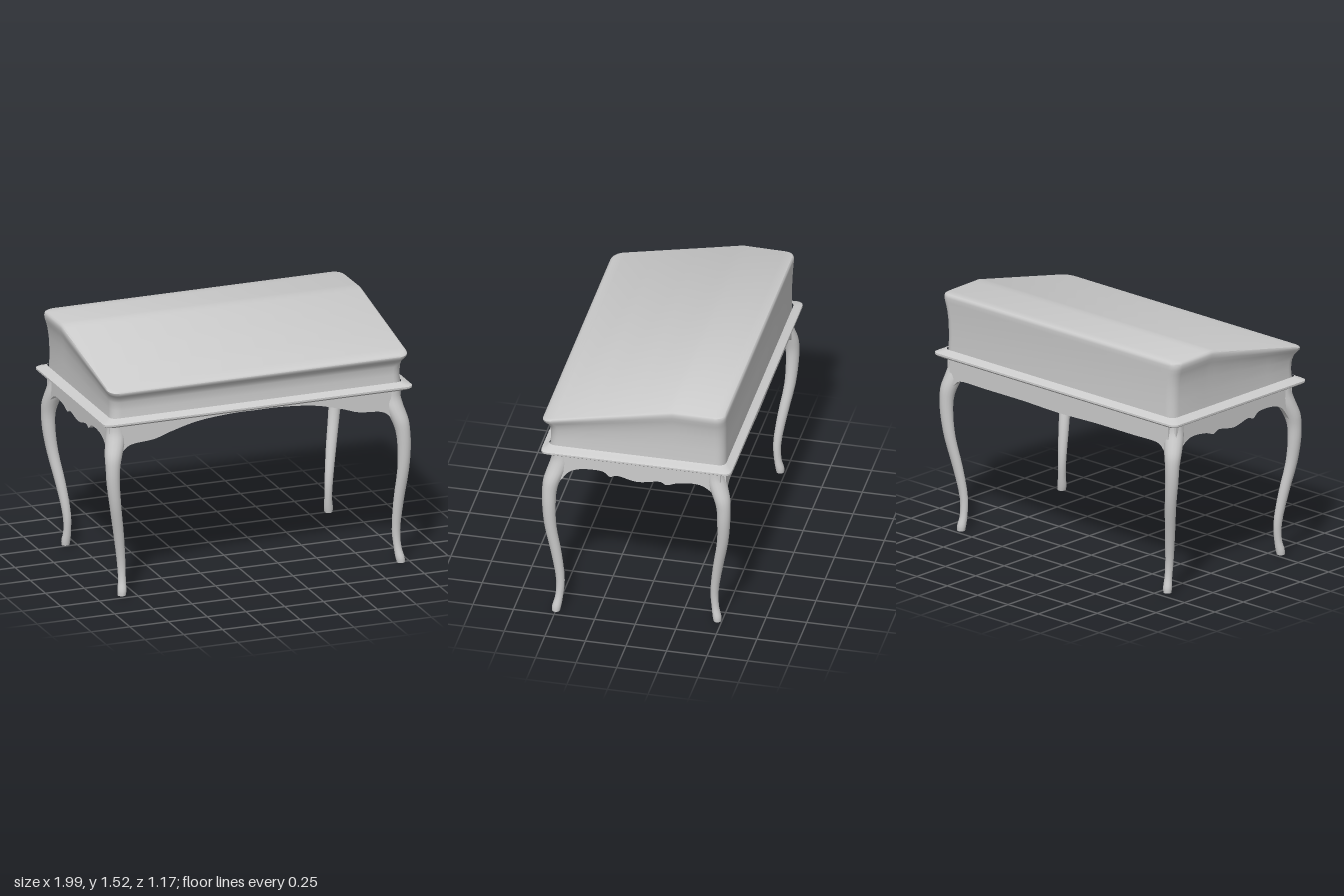
import * as THREE from 'three';
import { toCreasedNormals } from 'three/addons/utils/BufferGeometryUtils.js';

const material = new THREE.MeshStandardMaterial({ color: 0xcccccc });

function add(group, name, geometry) {
  const mesh = new THREE.Mesh(toCreasedNormals(geometry, 0.75), material);
  mesh.name = name;
  group.add(mesh);
  return mesh;
}

// Skin a stack of rings, each mirrored about its middle; chosen ends are closed with strips.
function loft(rings, closeBottom, closeTop) {
  const n = rings[0].length, index = [];
  for (let k = 0; k < rings.length - 1; k++) {
    for (let i = 0; i < n; i++) {
      const j = (i + 1) % n;
      const a = k * n + i, b = k * n + j, c = b + n, d = a + n;
      index.push(a, b, c, a, c, d);
    }
  }
  const top = (rings.length - 1) * n;
  for (let i = 0; i < n / 2 - 1; i++) {
    const a = i, b = i + 1, c = n - 2 - i, d = n - 1 - i;
    if (closeTop) index.push(top + a, top + b, top + c, top + a, top + c, top + d);
    if (closeBottom) index.push(a, c, b, a, d, c);
  }
  const geometry = new THREE.BufferGeometry();
  geometry.setAttribute('position', new THREE.Float32BufferAttribute(rings.flat(2), 3));
  geometry.setIndex(index);
  return geometry;
}

// Rounded rectangle ring; its height may vary with z.
function roundedRing(hx, front, back, r, height) {
  const half = [], steps = 5;
  for (let i = 0; i <= steps; i++) {
    const a = (i / steps) * Math.PI / 2;
    half.push([hx - r + r * Math.sin(a), front - r + r * Math.cos(a)]);
  }
  for (const z of [0.3, 0.04, -0.18, -0.22, -0.26]) half.push([hx, z]);
  for (let i = 0; i <= steps; i++) {
    const a = (i / steps) * Math.PI / 2;
    half.push([hx - r + r * Math.cos(a), back + r - r * Math.sin(a)]);
  }
  const full = [...half, ...half.map(([x, z]) => [-x, z]).reverse()];
  return full.map(([x, z]) => [x, height(z), z]);
}

// Board with a shaped lower edge.
function apronGeometry(edge, thickness = 0.03) {
  const pts = edge.map(([x, y]) => new THREE.Vector2(x, y));
  const shape = new THREE.Shape();
  shape.moveTo(pts[0].x, pts[0].y);
  shape.splineThru(pts.slice(1));
  shape.lineTo(pts[pts.length - 1].x, 1.12);
  shape.lineTo(pts[0].x, 1.12);
  return new THREE.ExtrudeGeometry(shape, { depth: thickness, bevelEnabled: false, curveSegments: 48 });
}

// Curved leg rows: height, x, z, radius.
const LEG = [
  [0, 0.856, 0.5, 0.025], [0.03, 0.854, 0.497, 0.028], [0.09, 0.849, 0.485, 0.024],
  [0.2, 0.851, 0.478, 0.026], [0.4, 0.877, 0.502, 0.032], [0.6, 0.911, 0.535, 0.036],
  [0.75, 0.928, 0.543, 0.041], [0.85, 0.929, 0.541, 0.045], [0.92, 0.921, 0.528, 0.053],
  [1.0, 0.9, 0.498, 0.06], [1.06, 0.888, 0.48, 0.06], [1.12, 0.885, 0.476, 0.06],
];

function legGeometry(sx, sz, spread, lift) {
  const curve = new THREE.CatmullRomCurve3(LEG.map(([y, x, z]) => new THREE.Vector3(x, y, z)));
  const radius = new THREE.CatmullRomCurve3(LEG.map(([y, , , r]) => new THREE.Vector3(r, y, 0)));
  const rings = [], steps = 33, sides = 16;
  for (let k = 0; k <= steps; k++) {
    const p = curve.getPoint(k / steps), r = radius.getPoint(k / steps).x;
    const drop = Math.max(0, 1 - p.y);
    const cx = sx * (p.x + spread * drop);
    const cz = sz > 0 ? p.z : -p.z + 0.01 + 0.015 * drop;
    const depth = sz > 0 ? r : r * 0.95;
    const ring = [];
    for (let i = 0; i < sides; i++) {
      const a = ((i + 0.5) / sides) * Math.PI * 2;
      ring.push([cx + r * Math.sin(a), p.y + lift * drop, cz + depth * Math.cos(a)]);
    }
    rings.push(ring);
  }
  return loft(rings, true, false);
}

export function createModel() {
  const desk = new THREE.Group();
  desk.name = 'writingDesk';

  // Moulded ledge with the desk's underside: half width, front, back, height
  const ledge = [
    [0.942, 0.537, -0.545, 1.109], [0.965, 0.56, -0.562, 1.113], [0.985, 0.577, -0.576, 1.121],
    [0.997, 0.588, -0.585, 1.13], [0.997, 0.588, -0.584, 1.141], [0.985, 0.577, -0.574, 1.148],
    [0.965, 0.562, -0.557, 1.154], [0.942, 0.549, -0.54, 1.165],
  ];
  add(desk, 'ledge', loft(ledge.map(([hx, f, b, y]) => roundedRing(hx, f, b, 0.04, () => y)), true, false));

  // Slant-top case: half width, front, back, fraction of local height
  const lidHeight = (z) => (z > -0.22
    ? THREE.MathUtils.mapLinear(z, 0.57, -0.22, 1.352, 1.52)
    : THREE.MathUtils.mapLinear(z, -0.22, -0.54, 1.52, 1.514));
  const body = [
    [0.939, 0.55, -0.538, 0], [0.936, 0.544, -0.537, 0.3], [0.941, 0.547, -0.538, 0.55],
    [0.948, 0.557, -0.54, 0.7], [0.957, 0.575, -0.541, 0.8], [0.965, 0.586, -0.542, 0.87],
    [0.969, 0.588, -0.543, 0.94], [0.965, 0.582, -0.541, 0.98], [0.954, 0.568, -0.534, 1],
  ];
  add(desk, 'slantTopCase', loft(body.map(([hx, f, b, t]) =>
    roundedRing(hx, f, b, 0.06, (z) => 1.15 + (lidHeight(z) - 1.15) * t)), false, true)).position.x = 0.002;

  // Front apron with a wide arch
  const arch = [[0.9, 0.9], [0.86, 0.95], [0.8, 0.985], [0.66, 1.0], [0.55, 1.035], [0.38, 1.078], [0.18, 1.098]];
  const frontEdge = [...arch.map(([x, y]) => [-x, y]), [0, 1.1], ...[...arch].reverse()];
  add(desk, 'frontApron', apronGeometry(frontEdge)).position.z = 0.505;

  // Back apron, nearly straight
  const backHalf = [[0.9, 0.9], [0.86, 0.95], [0.8, 0.985], [0.6, 0.985], [0.3, 0.985]];
  const backEdge = [...backHalf.map(([x, y]) => [-x, y]), [0, 0.978], ...[...backHalf].reverse()];
  add(desk, 'backApron', apronGeometry(backEdge)).position.z = -0.537;

  // Scalloped side aprons, edge running from back to front
  const sideEdge = [
    [-0.51, 0.86], [-0.48, 0.93], [-0.43, 0.985], [-0.36, 1.01], [-0.25, 1.0], [-0.18, 0.978],
    [-0.13, 0.995], [0, 0.975], [0.12, 1.0], [0.17, 0.988], [0.22, 1.02], [0.33, 1.02],
    [0.41, 0.995], [0.46, 0.94], [0.51, 0.86],
  ];
  for (const side of [-1, 1]) {
    const geometry = apronGeometry(sideEdge).rotateY(-Math.PI / 2);
    add(desk, side > 0 ? 'leftApron' : 'rightApron', geometry).position.x = side > 0 ? 0.94 : -0.91;
  }

  // Legs: side, end, outward spread, foot lift
  const legs = [
    ['frontLeftLeg', 1, 1, 0.09, 0], ['frontRightLeg', -1, 1, 0, 0.02],
    ['backLeftLeg', 1, -1, 0.006, 0.01], ['backRightLeg', -1, -1, -0.02, 0.02],
  ];
  for (const [name, sx, sz, spread, lift] of legs) add(desk, name, legGeometry(sx, sz, spread, lift));

  return desk;
}
